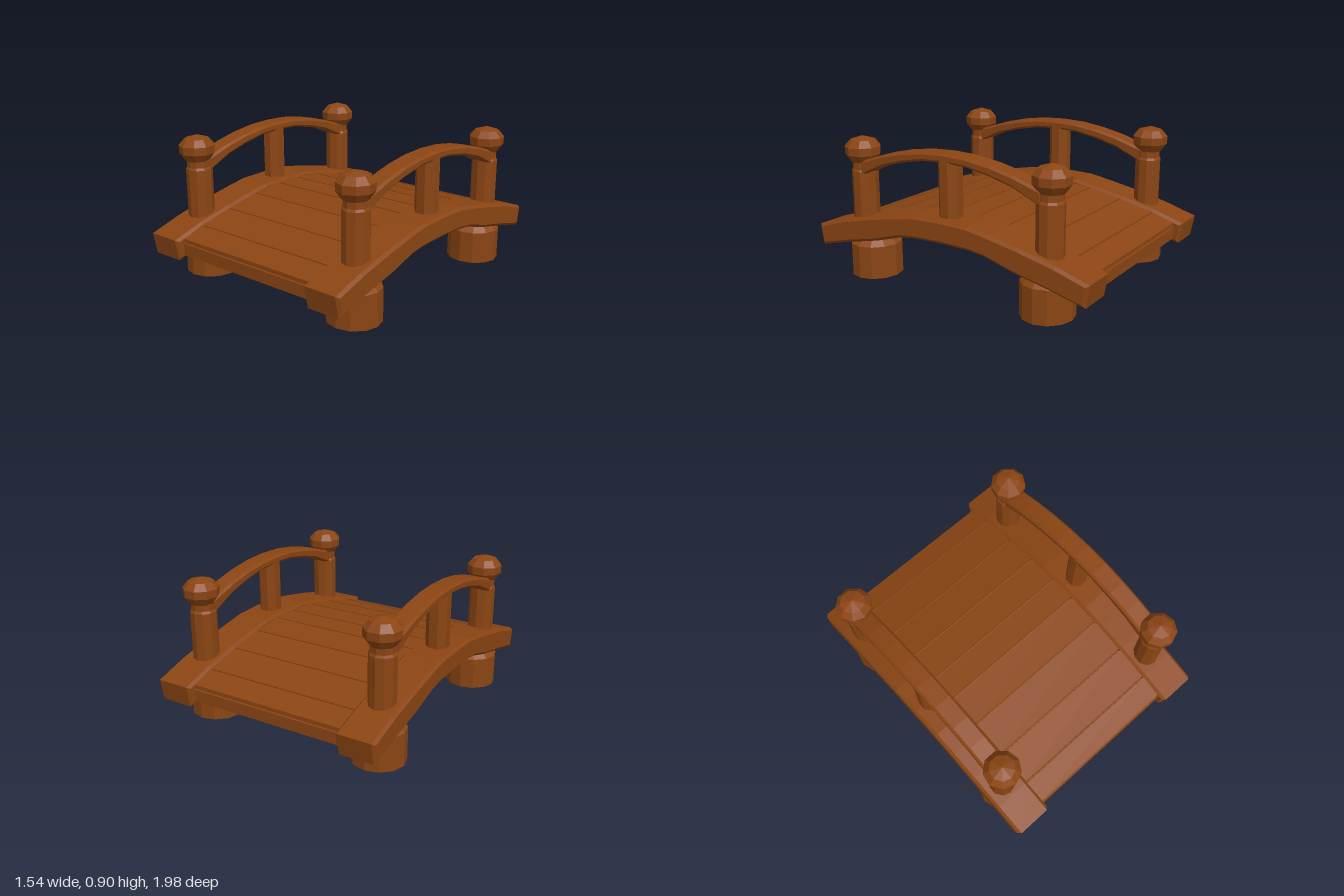
import * as THREE from 'three';

// Half profiles [z, y] from the middle outwards
const beamTop = [[0, 0.495], [0.2, 0.49], [0.36, 0.462], [0.55, 0.424], [0.78, 0.37], [0.99, 0.305]];
const beamBottom = [[0, 0.352], [0.2, 0.347], [0.31, 0.333], [0.5, 0.277], [0.75, 0.222], [0.965, 0.168]];
const railTop = [[0, 0.88], [0.16, 0.873], [0.32, 0.85], [0.47, 0.815], [0.66, 0.755]];
const railBottom = [[0, 0.825], [0.16, 0.817], [0.32, 0.787], [0.47, 0.745], [0.66, 0.66]];

// Mirror a half profile to run from -z to +z
const mirror = (half) => [...half.slice(1).reverse().map(([z, y]) => [-z, y]), ...half];

// Height on a half profile at a given z
function heightAt(half, z) {
  const a = Math.abs(z);
  let i = 1;
  while (i < half.length - 1 && half[i][0] < a) i++;
  const [z0, y0] = half[i - 1], [z1, y1] = half[i];
  return y0 + (y1 - y0) * (a - z0) / (z1 - z0);
}

// Extrude a side outline across x, centred, with chamfered edges
function across(outline, width, bevel) {
  const shape = new THREE.Shape(outline.map(([z, y]) => new THREE.Vector2(z, y)));
  const depth = width - 2 * bevel;
  const geometry = new THREE.ExtrudeGeometry(shape, {
    depth, bevelEnabled: bevel > 0, bevelThickness: bevel, bevelSize: bevel, bevelOffset: -bevel, bevelSegments: 1,
  });
  return geometry.translate(0, 0, -depth / 2).rotateY(-Math.PI / 2);
}

function turned(profile, sides) {
  return new THREE.LatheGeometry(profile.map(([r, y]) => new THREE.Vector2(r, y)), sides);
}

export function createModel() {
  const group = new THREE.Group();
  const wood = new THREE.MeshStandardMaterial({ color: 0x8b4513, flatShading: true });
  wood.name = 'brownWood';
  const add = (name, geometry, x = 0, z = 0) => {
    const mesh = new THREE.Mesh(geometry, wood);
    mesh.name = name;
    mesh.position.set(x, 0, z);
    group.add(mesh);
    return mesh;
  };

  const beam = across([...mirror(beamBottom), ...mirror(beamTop).reverse()], 0.25, 0.018);
  const rail = across([...mirror(railBottom), ...mirror(railTop).reverse()], 0.135, 0.014);

  // Hollow feet with a sloped shoulder
  const foot = turned([[0, 0.2], [0.145, 0.2], [0.145, 0.005], [0.17, 0.005], [0.17, 0.215],
    [0.125, 0.262], [0.125, 0.31], [0, 0.31]], 12);
  foot.scale(1, 1, 0.95);

  // Corner post with a narrower neck, and its faceted knob
  const post = turned([[0.084, 0.35], [0.084, 0.685], [0.076, 0.7], [0.076, 0.77]], 10);
  const knob = turned([[0.076, 0.74], [0.112, 0.79], [0.114, 0.84], [0.078, 0.882], [0, 0.905]], 9);
  const middlePost = new THREE.CylinderGeometry(0.074, 0.074, 0.38, 8).rotateY(Math.PI / 8).translate(0, 0.65, 0);

  for (const side of [1, -1]) {
    const label = side > 0 ? 'left' : 'right';
    add(label + 'Beam', beam, side * 0.645);
    add(label + 'Handrail', rail, side * 0.642);
    add(label + 'MiddlePost', middlePost, side * 0.642);
    for (const end of [1, -1]) {
      const corner = label + (end > 0 ? 'Front' : 'Back');
      add(corner + 'Foot', foot, side * 0.6, end * 0.645);
      add(corner + 'Post', post, side * 0.64, end * 0.68);
      add(corner + 'Knob', knob, side * 0.642, end * 0.687);
    }
  }

  // Deck planks follow the arch, with grooves between their top edges
  const seams = [-0.935, -0.78, -0.54, -0.31, -0.095, 0.085, 0.31, 0.55, 0.78, 0.935];
  const top = (z) => heightAt(beamTop, z) - 0.018;
  const thick = 0.105, groove = 0.006;
  for (let i = 0; i < seams.length - 1; i++) {
    const a = seams[i], b = seams[i + 1];
    const outline = [
      [a, top(a) - thick], [b, top(b) - thick], [b, top(b) - 0.03],
      [b - groove, top(b) - 0.025], [b - groove, top(b)],
      [a + groove, top(a)], [a + groove, top(a) - 0.025], [a, top(a) - 0.03],
    ];
    add('plank' + (i + 1), across(outline, 1.06, 0));
  }
  return group;
}
